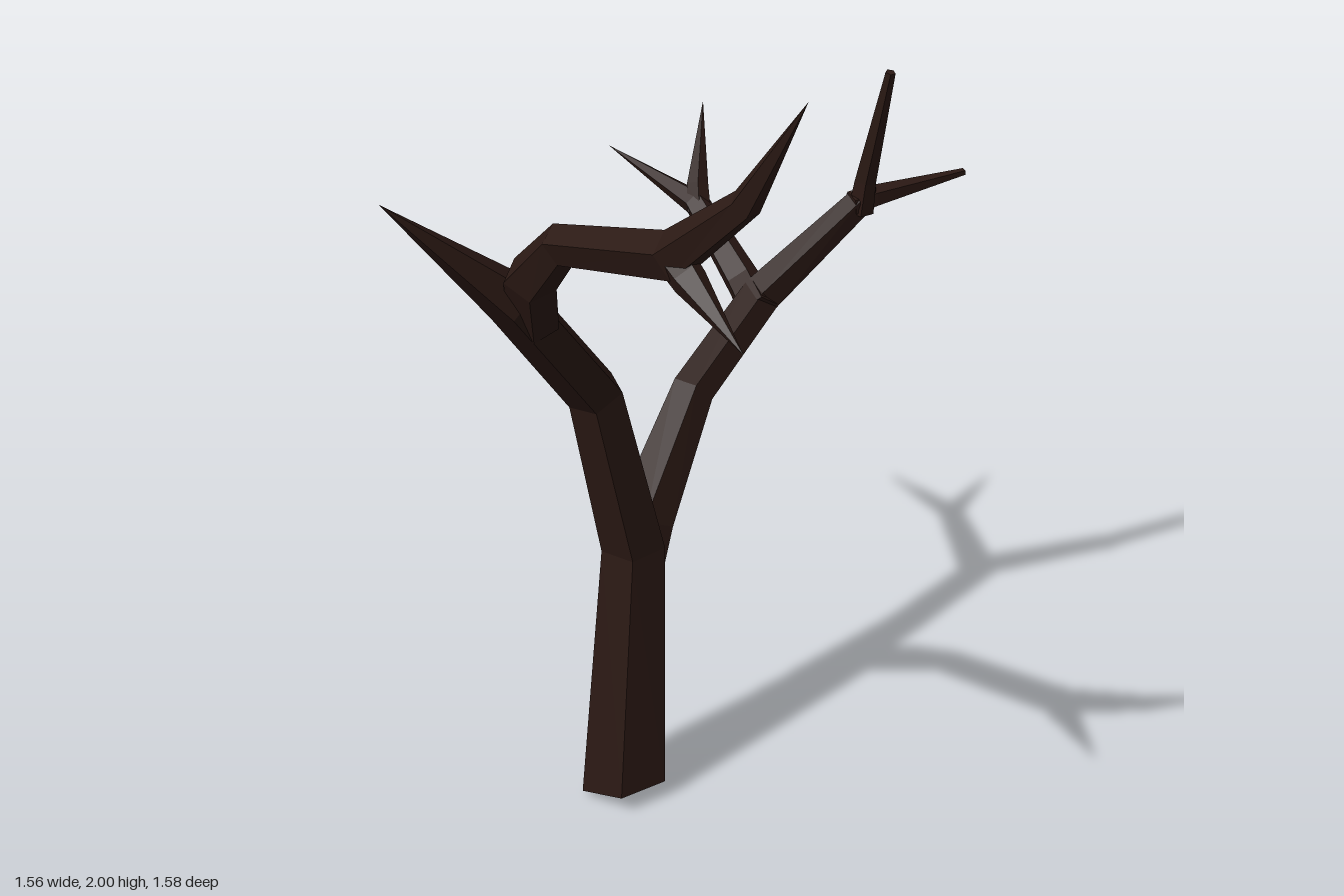
import * as THREE from 'three';

const SIDES = 5;
const V = (a) => new THREE.Vector3(a[0], a[1], a[2]);

// Faceted limb through points [x, y, z, radius]; radius 0 makes a sharp tip
function limbGeometry(path, startNormal) {
  const pts = path.map(V);
  const last = pts.length - 1;
  const dir = (i) => pts[i + 1].clone().sub(pts[i]).normalize();
  let u = null;
  const rings = pts.map((p, i) => {
    let t;
    if (i === 0) t = startNormal ? V(startNormal).normalize() : dir(0);
    else if (i === last) t = dir(i - 1);
    else t = dir(i - 1).add(dir(i)).normalize();
    // carry the ring's reference direction along the path without twisting
    if (!u) u = Math.abs(t.z) > 0.7 ? new THREE.Vector3(0, 1, 0) : new THREE.Vector3(0, 0, -1);
    u = u.clone().addScaledVector(t, -u.dot(t)).normalize();
    const v = t.clone().cross(u);
    return Array.from({ length: SIDES }, (_, k) => {
      const a = (k / SIDES) * Math.PI * 2;
      return p.clone()
        .addScaledVector(u, Math.cos(a) * path[i][3])
        .addScaledVector(v, Math.sin(a) * path[i][3]);
    });
  });

  const pos = [];
  const tri = (...c) => c.forEach((p) => pos.push(p.x, p.y, p.z));
  for (let k = 0; k < SIDES; k++) {
    const n = (k + 1) % SIDES;
    for (let i = 0; i < last; i++) {
      const a = rings[i], b = rings[i + 1];
      tri(a[k], a[n], b[k]);
      if (path[i + 1][3] > 0) tri(a[n], b[n], b[k]);
    }
    tri(pts[0], rings[0][n], rings[0][k]);
    if (path[last][3] > 0) tri(pts[last], rings[last][k], rings[last][n]);
  }
  const geo = new THREE.BufferGeometry();
  geo.setAttribute('position', new THREE.Float32BufferAttribute(pos, 3));
  geo.computeVertexNormals();
  return geo;
}

export function createModel() {
  const tree = new THREE.Group();
  tree.name = 'bareTree';
  const bark = new THREE.MeshStandardMaterial({ color: 0x2b1914, flatShading: true });

  const addLimb = (name, path, startNormal) => {
    const mesh = new THREE.Mesh(limbGeometry(path, startNormal), bark);
    mesh.name = name;
    tree.add(mesh);
  };

  // Trunk with a slanted cut base, running on into the right limb and its spike
  addLimb('trunkAndRightLimb', [
    [-0.21, 0.03, -0.06, 0.105], [-0.17, 0.67, -0.065, 0.077],
    [-0.275, 1.09, -0.045, 0.065], [-0.5, 1.385, 0.0, 0.06], [-0.78, 1.65, -0.022, 0],
  ], [0, 1, -0.25]);

  // Forward bough growing off the right limb, with a side spike
  addLimb('forwardBough', [
    [-0.45, 1.32, 0.0, 0.055], [-0.49, 1.45, 0.06, 0.058], [-0.48, 1.56, 0.17, 0.045],
    [-0.425, 1.63, 0.49, 0.052], [-0.37, 1.77, 0.645, 0.032], [-0.34, 2.0, 0.79, 0],
  ]);
  addLimb('forwardSpike', [
    [-0.42, 1.64, 0.45, 0.04], [-0.425, 1.6, 0.54, 0.036], [-0.425, 1.51, 0.72, 0],
  ]);

  // Left limb, rising from the fork to its outer elbow
  addLimb('leftLimb', [
    [-0.165, 0.6, -0.07, 0.068], [-0.13, 0.72, -0.08, 0.072], [0.04, 0.98, -0.13, 0.052],
    [0.3, 1.125, -0.22, 0.05], [0.485, 1.365, -0.085, 0.034], [0.51, 1.4, -0.07, 0.01],
  ]);

  // Twigs at the outer elbow
  addLimb('outerTwig', [[0.46, 1.36, -0.09, 0.03], [0.52, 1.368, -0.083, 0.027], [0.78, 1.38, -0.065, 0.009]]);
  addLimb('upperTwig', [[0.485, 1.34, -0.085, 0.032], [0.485, 1.42, -0.07, 0.026], [0.483, 1.7, 0.01, 0.012]]);

  // Backward bough with its two sharp ends
  addLimb('backwardBough', [
    [0.27, 1.1, -0.19, 0.048], [0.29, 1.14, -0.28, 0.045],
    [0.305, 1.27, -0.5, 0.033], [0.24, 1.345, -0.79, 0],
  ]);
  addLimb('backwardTwig', [[0.3, 1.25, -0.48, 0.03], [0.32, 1.31, -0.515, 0.027], [0.385, 1.49, -0.585, 0]]);

  return tree;
}
